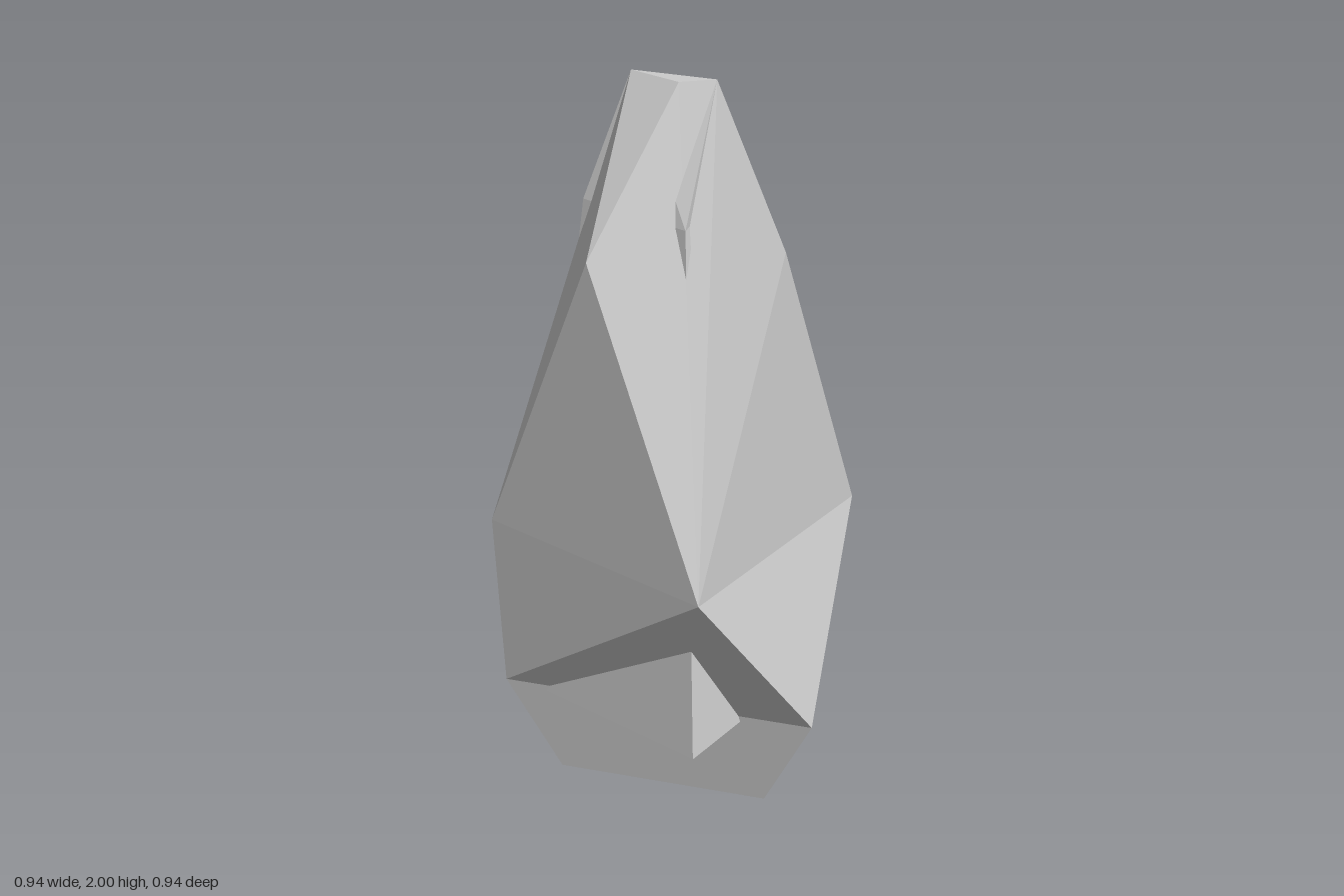
import * as THREE from 'three';

// Faceted solid from named corners; faces are wound outward from the core point.
function facetedMesh(name, corners, faces, core, material) {
  const positions = [];
  for (const face of faces.split(' ')) {
    const [a, b, c] = [...face].map((k) => new THREE.Vector3(...corners[k]));
    const normal = b.clone().sub(a).cross(c.clone().sub(a));
    const outward = normal.dot(a.clone().sub(core)) > 0;
    for (const p of outward ? [a, b, c] : [a, c, b]) positions.push(p.x, p.y, p.z);
  }
  const geometry = new THREE.BufferGeometry();
  geometry.setAttribute('position', new THREE.Float32BufferAttribute(positions, 3));
  geometry.computeVertexNormals();
  const mesh = new THREE.Mesh(geometry, material);
  mesh.name = name;
  return mesh;
}

export function createModel() {
  const group = new THREE.Group();
  group.name = 'crystal';
  const material = new THREE.MeshStandardMaterial({ color: 0xcccccc, flatShading: true });
  const core = new THREE.Vector3(0, 0.9, 0);

  // Small tip, shared by the shell and the inner crystal
  const tip = { A: [-0.1, 2, 0], B: [0, 2, 0.095], C: [0.09, 2, 0.09] };

  // Outer shell: rings of corners from the tip down to the foot
  const shell = {
    ...tip,
    D: [-0.235, 1.62, 0.235], E: [0.235, 1.62, 0.235], F: [0.235, 1.62, -0.235],
    G: [0.47, 0.8, 0], H: [0, 0.8, 0.47], I: [-0.47, 0.8, 0], J: [0, 0.8, -0.47],
    K: [0.32, 0.3, 0.32], L: [0.32, 0.3, -0.32], M: [-0.32, 0.3, -0.32], N: [-0.45, 0.3, 0],
    P: [0.217, 0, 0.217], Q: [0, 0, -0.307], R: [-0.307, 0, 0],
  };
  const shellFaces = [
    'ABC ADB ACF',                              // tip
    'DBH BCH CEH CEG CGF AFJ AJI IAD',          // long upper facets
    'DIH EHG FGJ',                              // shoulders
    'HGK GKL GLJ JLM JMI IMN INH HNK',          // waist
    'KLQ KQP LQM MQN NQR NRP NPK',              // lower taper
    'PQR',                                      // foot
  ].join(' ');
  group.add(facetedMesh('outerShell', shell, shellFaces, core, material));

  // Inner crystal: its ridges break through the shell as small shards
  const inner = {
    ...tip,
    s: [0, 0.28, 0.387], t: [0.387, 0.28, 0], u: [-0.387, 0.28, 0], w: [0.27, 0.28, -0.27],
    S: [0, 1.68, 0.218], T: [0.12, 1.68, 0], U: [-0.218, 1.68, 0], W: [0.05, 1.68, -0.05],
  };
  const innerFaces = [
    'SAC SUA STC TWC WAC UWA',                  // top
    'stS tST twT wTW usU sSU wuW uWU',          // sides
    'stu tuw',                                  // base
  ].join(' ');
  group.add(facetedMesh('innerCrystal', inner, innerFaces, core, material));

  return group;
}
